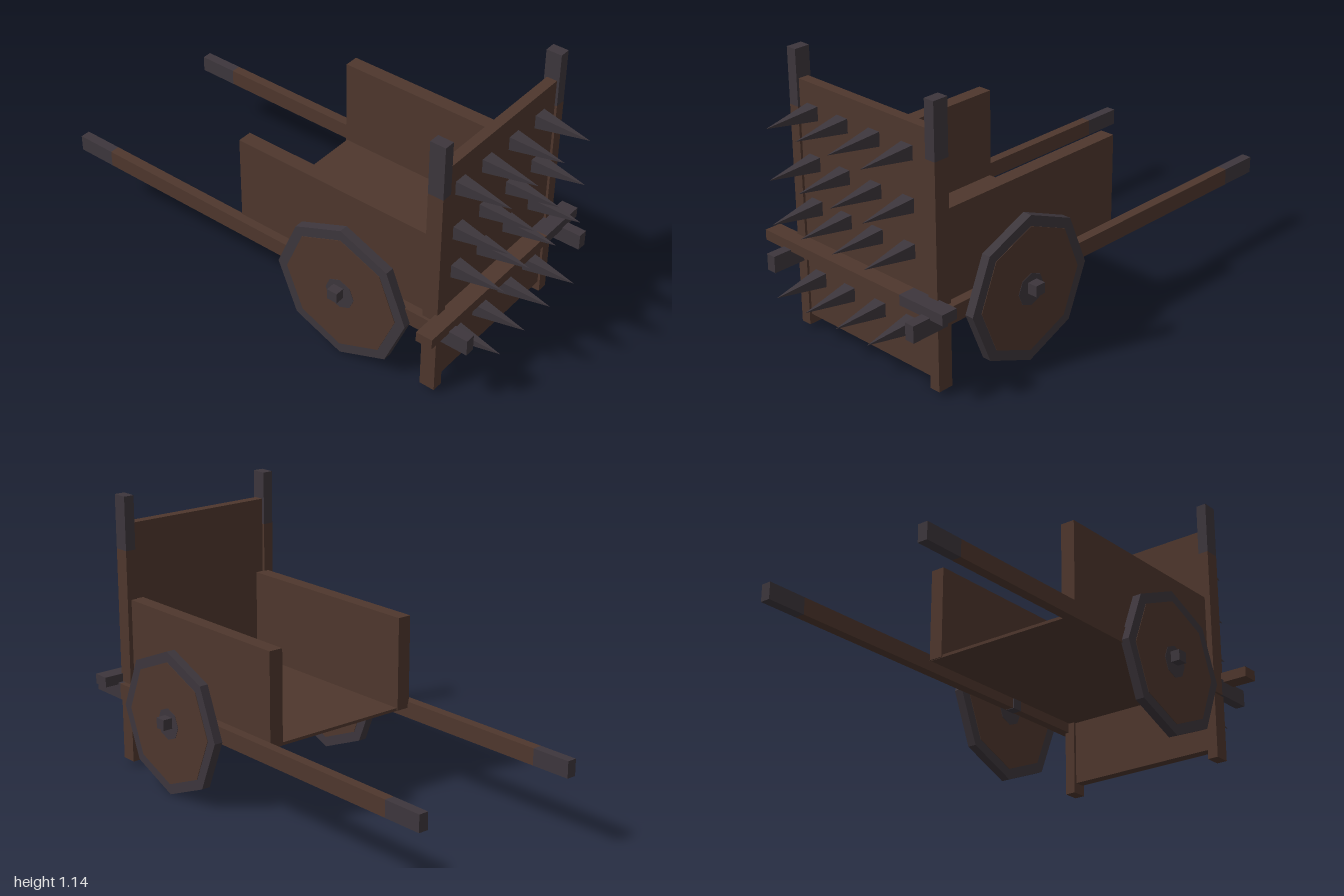
import * as THREE from 'three';

export function createModel() {
  const wood = new THREE.MeshStandardMaterial({ color: 0x4e372d });
  wood.name = 'dark wood';
  const iron = new THREE.MeshStandardMaterial({ color: 0x3d363c });
  iron.name = 'dark iron';
  const model = new THREE.Group();
  model.name = 'spikedCart';

  const add = (name, geometry, material, parent = model) => {
    const mesh = new THREE.Mesh(geometry, material);
    mesh.name = name;
    parent.add(mesh);
    return mesh;
  };
  // Box given by its limits on each axis
  const box = (name, material, [x0, x1], [y0, y1], [z0, z1], parent) => {
    const g = new THREE.BoxGeometry(x1 - x0, y1 - y0, z1 - z0);
    g.translate((x0 + x1) / 2, (y0 + y1) / 2, (z0 + z1) / 2);
    return add(name, g, material, parent);
  };
  // Faceted geometry
  const faceted = (g) => {
    const flat = g.toNonIndexed();
    flat.computeVertexNormals();
    return flat;
  };

  // Front shield
  box('shieldPanel', wood, [-0.325, 0.335], [0.068, 1.033], [0.742, 0.785]);
  for (const [side, x] of [['right', [-0.37, -0.325]], ['left', [0.335, 0.38]]]) {
    box(side + 'Post', wood, x, [0.025, 0.925], [0.73, 0.795]);
    box(side + 'PostCap', iron, x, [0.925, 1.147], [0.73, 0.795]);
  }

  // Crossbar with one iron end
  box('crossbar', wood, [-0.485, 0.25], [0.355, 0.397], [0.785, 0.855]);
  box('crossbarEnd', iron, [0.25, 0.465], [0.355, 0.397], [0.785, 0.855]);

  // Rows of four-sided spikes
  const spikes = new THREE.Group();
  spikes.name = 'spikes';
  model.add(spikes);
  const spike = faceted(new THREE.ConeGeometry(0.028 * Math.SQRT2, 0.215, 4)
    .rotateY(Math.PI / 4).rotateX(Math.PI / 2));
  for (const y of [0.922, 0.722, 0.545, 0.247]) {
    for (const x of [-0.257, -0.097, 0.069, 0.235]) {
      add('spike', spike, iron, spikes).position.set(x, y, 0.8925);
    }
  }

  // Open cargo bed
  box('bedFloor', wood, [-0.34, 0.36], [0.335, 0.347], [-0.15, 0.742]);
  box('rightWall', wood, [-0.345, -0.285], [0.337, 0.72], [-0.155, 0.735]);
  box('leftWall', wood, [0.302, 0.362], [0.337, 0.72], [-0.155, 0.735]);

  // Long shafts with iron tips
  for (const [side, x] of [['right', [-0.381, -0.34]], ['left', [0.363, 0.404]]]) {
    box(side + 'Shaft', wood, x, [0.295, 0.363], [-0.83, 0.77]);
    box(side + 'ShaftRearTip', iron, x, [0.295, 0.363], [-1, -0.83]);
    box(side + 'ShaftFrontTip', iron, x, [0.295, 0.363], [0.77, 0.935]);
  }

  // Eight-sided wheels: iron tread, wooden disc, iron hub
  const disc = (radius, width) => faceted(
    new THREE.CylinderGeometry(radius, radius, width, 8).rotateZ(Math.PI / 2));
  for (const [side, x] of [['right', -0.394], ['left', 0.422]]) {
    const wheel = new THREE.Group();
    wheel.name = side + 'Wheel';
    wheel.position.set(x, 0.304, 0.384);
    add('tread', disc(0.299, 0.037), iron, wheel);
    add('woodDisc', disc(0.255, 0.041), wood, wheel);
    add('hub', disc(0.066, 0.044), iron, wheel);
    model.add(wheel);
  }

  // Short axle stubs
  box('rightAxle', iron, [-0.455, -0.335], [0.293, 0.337], [0.356, 0.402]);
  box('leftAxle', iron, [0.358, 0.485], [0.293, 0.337], [0.356, 0.402]);

  return model;
}
